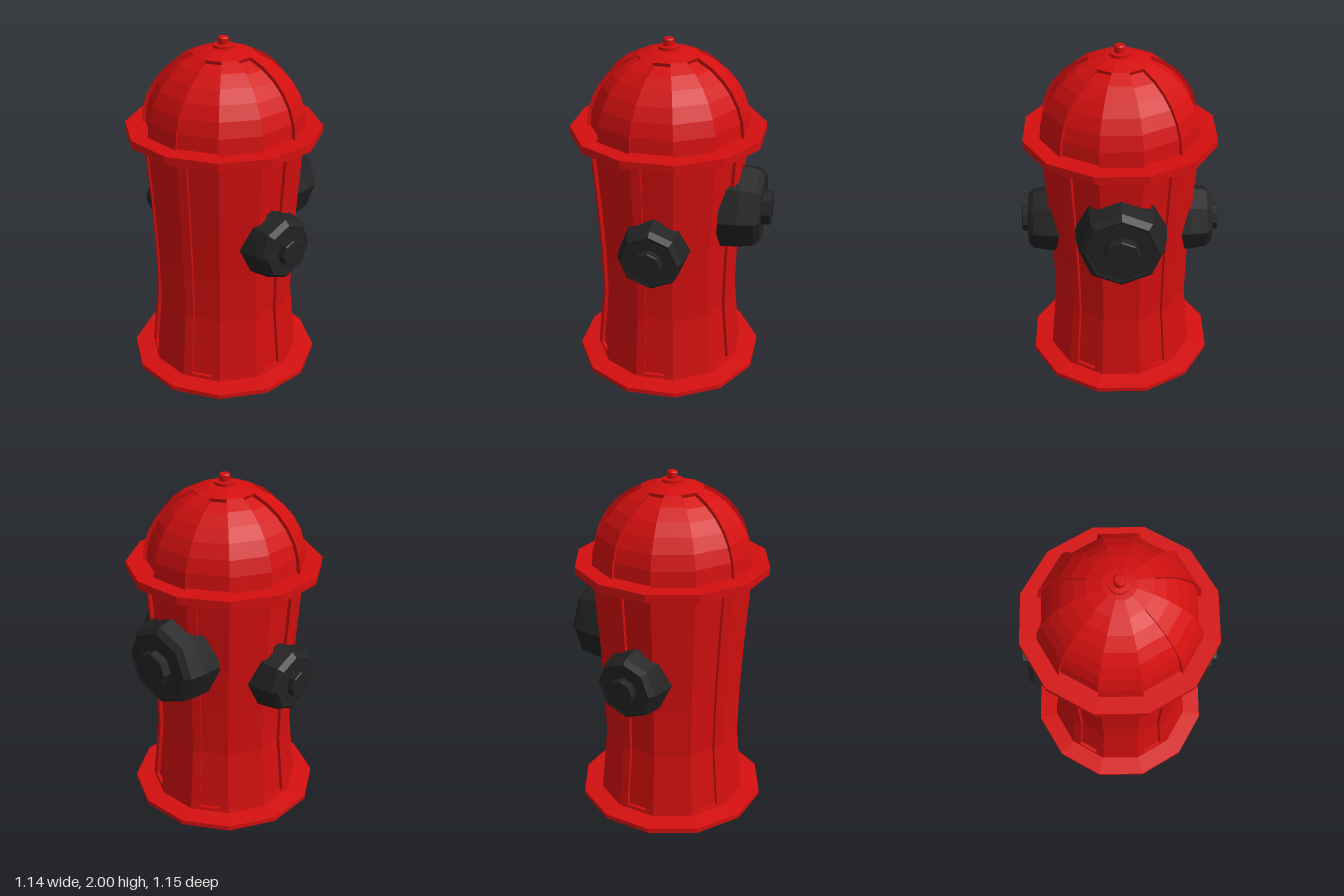
import * as THREE from 'three';

const red = new THREE.MeshStandardMaterial({ color: 0xd40f0f, flatShading: true });
const black = new THREE.MeshStandardMaterial({ color: 0x222222, flatShading: true });
const SIDES = 12;
const TAN = Math.tan(Math.PI / SIDES);

function mesh(name, geometry, material) {
  const m = new THREE.Mesh(geometry, material);
  m.name = name;
  return m;
}

// Twelve-sided shell from a profile of [apothem, y], every second face with a sunken panel
// covering a fraction of its width between two profile rows.
function panelShell(profile, { fraction, depth, from, to }) {
  const pos = [];
  const quad = (a, b, c, d) => [a, b, c, a, c, d].forEach((p) => pos.push(...p));
  // Profile moved inwards along its own normal
  const sunk = profile.map(([r, y], i) => {
    const a = profile[Math.max(i - 1, 0)];
    const b = profile[Math.min(i + 1, profile.length - 1)];
    const len = Math.hypot(b[0] - a[0], b[1] - a[1]);
    return [r - (depth * (b[1] - a[1])) / len, y + (depth * (b[0] - a[0])) / len];
  });
  for (let k = 0; k < SIDES; k++) {
    const ang = (k * 2 * Math.PI) / SIDES;
    const c = Math.cos(ang), s = Math.sin(ang);
    const at = (i, u, isSunk = false) => {
      const [r, y] = isSunk ? sunk[i] : profile[i];
      const t = u * profile[i][0] * TAN;
      return [c * r - s * t, y, s * r + c * t];
    };
    const strip = (i, u0, u1, isSunk) =>
      quad(at(i, u0, isSunk), at(i, u1, isSunk), at(i + 1, u1, isSunk), at(i + 1, u0, isSunk));
    const f = fraction;
    for (let i = 0; i < profile.length - 1; i++) {
      if (k % 2 === 0 || i < from || i >= to) {
        strip(i, 1, -1);
        continue;
      }
      if (f < 1) {
        strip(i, 1, f);
        strip(i, -f, -1);
      }
      strip(i, f, -f, true);
      // Side walls of the panel
      quad(at(i, -f, true), at(i, -f), at(i + 1, -f), at(i + 1, -f, true));
      quad(at(i, f), at(i, f, true), at(i + 1, f, true), at(i + 1, f));
    }
    if (k % 2) {
      // End walls of the panel
      quad(at(from, f), at(from, -f), at(from, -f, true), at(from, f, true));
      quad(at(to, -f), at(to, f), at(to, f, true), at(to, -f, true));
    }
  }
  const g = new THREE.BufferGeometry();
  g.setAttribute('position', new THREE.Float32BufferAttribute(pos, 3));
  g.computeVertexNormals();
  return g;
}

// Solid of revolution with few sides, profile of [radius, height]
function lathe(points, sides) {
  return new THREE.LatheGeometry(points.map(([r, y]) => new THREE.Vector2(r, y)), sides);
}

// Octagonal cap with a nut, pointing along +z and then turned around y
function nozzle(name, height, turn, cap, nut) {
  const g = new THREE.Group();
  g.name = name;
  g.add(mesh('cap', lathe(cap, 8).rotateX(Math.PI / 2), black));
  g.add(mesh('nut', lathe(nut, 8).rotateX(Math.PI / 2), black));
  g.rotation.y = turn;
  g.position.y = height;
  return g;
}

export function createModel() {
  const root = new THREE.Group();
  root.name = 'hydrant';
  const hydrant = new THREE.Group();
  hydrant.name = 'hydrantParts';
  hydrant.position.x = -0.035;
  root.add(hydrant);

  // Base plate with a slightly raised top, and the collar under the dome
  const base = lathe([[0, 0], [0.553, 0], [0.553, 0.028], [0.44, 0.04], [0, 0.04]], SIDES);
  hydrant.add(mesh('basePlate', base.rotateY(Math.PI / SIDES), red));
  const collar = new THREE.CylinderGeometry(0.556, 0.556, 0.045, SIDES);
  collar.rotateY(Math.PI / SIDES).translate(0, 1.475, 0);
  hydrant.add(mesh('collar', collar, red));

  // Waisted barrel with narrow grooves
  const barrel = [[0.428, 0.03], [0.424, 0.06], [0.39, 0.43], [0.396, 0.72], [0.411, 1.0], [0.443, 1.46]];
  hydrant.add(mesh('barrel', panelShell(barrel, { fraction: 0.54, depth: 0.02, from: 1, to: 5 }), red));

  // Dome with wide sunken panels between ribs
  const dome = [];
  for (let i = 0; i <= 8; i++) {
    const a = (i * Math.PI) / 16;
    dome.push([Math.max(0.445 * Math.cos(a), 0.001), 1.497 + 0.45 * Math.sin(a)]);
  }
  hydrant.add(mesh('dome', panelShell(dome, { fraction: 1, depth: 0.022, from: 0, to: 6 }), red));

  // Top bolt
  const bolt = [[0.058, 1.93], [0.058, 1.957], [0.031, 1.96], [0.031, 1.993], [0.025, 2], [0, 2]];
  hydrant.add(mesh('topBolt', lathe(bolt, 16), red));

  // Two small outlets, front and back
  const smallCap = [[0.205, 0.25], [0.196, 0.41], [0.182, 0.505], [0.157, 0.536], [0.14, 0.533], [0, 0.533]];
  const smallNut = [[0.078, 0.52], [0.078, 0.57], [0.073, 0.575], [0, 0.575]];
  hydrant.add(nozzle('frontOutlet', 0.9, 0, smallCap, smallNut));
  hydrant.add(nozzle('backOutlet', 0.9, Math.PI, smallCap, smallNut));

  // Large outlet on the left side
  const largeCap = [[0.262, 0.25], [0.25, 0.435], [0.235, 0.526], [0.203, 0.556], [0.185, 0.552], [0, 0.552]];
  const largeNut = [[0.103, 0.54], [0.103, 0.6], [0.097, 0.605], [0, 0.605]];
  hydrant.add(nozzle('sideOutlet', 1.03, Math.PI / 2, largeCap, largeNut));

  return root;
}
